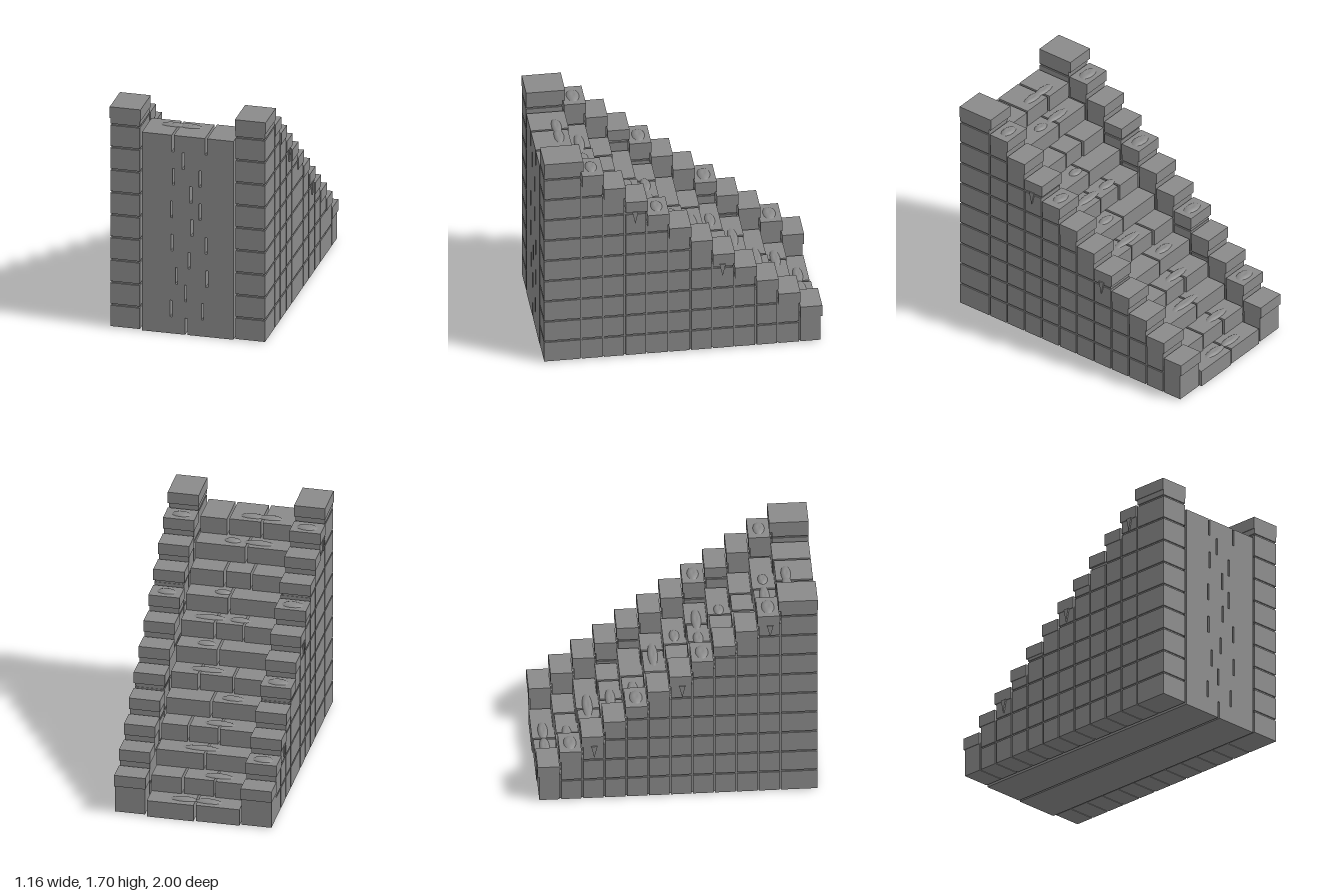
import * as THREE from 'three';

const RUN = 0.157, RISE = 0.1275, STEPS = 12, ROW = 0.1737;

export function createModel() {
  const root = new THREE.Group();
  root.name = 'stoneStaircase';
  const stone = new THREE.MeshStandardMaterial({ color: 0x8a8a8a });
  stone.name = 'grey stone';

  function add(parent, name, geometry) {
    const mesh = new THREE.Mesh(geometry, stone);
    mesh.name = name;
    parent.add(mesh);
    return mesh;
  }

  // Box given by its two extreme corners
  function block(parent, name, x0, x1, y0, y1, z0, z1) {
    const mesh = add(parent, name, new THREE.BoxGeometry(x1 - x0, y1 - y0, z1 - z0));
    mesh.position.set((x0 + x1) / 2, (y0 + y1) / 2, (z0 + z1) / 2);
    return mesh;
  }

  // Front edge of a course; every course runs back to z = 1
  const stepZ = (i) => -1 + i * RUN;

  // Stair courses, split by open vertical joints
  const stairs = new THREE.Group();
  stairs.name = 'stairs';
  root.add(stairs);
  const joints = [
    [-0.013], [-0.125, 0.108], [-0.018], [-0.085, 0.138], [0.008], [-0.118, 0.133],
    [0.028], [-0.122, 0.088], [0.02], [-0.107, 0.088], [-0.035], [-0.112, 0.133],
  ];
  joints.forEach((row, i) => {
    const ends = [-0.348, ...row, 0.343];
    for (let k = 0; k < ends.length - 1; k++) {
      const setback = (i + k) % 2 ? 0 : 0.008;
      block(stairs, 'stepStone', ends[k] + 0.008, ends[k + 1] - 0.008,
        i * RISE, (i + 1) * RISE, stepZ(i) + setback, 1);
    }
  });

  // Side walls: inset core, grid of stones, stepped coping
  function wall(name, x0, x1) {
    const g = new THREE.Group();
    g.name = name;
    root.add(g);
    for (let i = 0; i < STEPS; i++) {
      const top = 0.303 + i * 0.127, under = top - 0.088;
      const z0 = stepZ(i), z1 = i === STEPS - 1 ? 1 : z0 + RUN;
      block(g, 'capStone', x0, x1, under, top, z0 - (i === STEPS - 1 ? 0.008 : 0), z1);
      block(g, 'wallCore', x0 + 0.014, x1 - 0.014, 0.012, under + 0.01, z0 + 0.015,
        i === STEPS - 1 ? z1 - 0.01 : z1 + 0.016);
      // the lowest column is a single stone
      const rows = i === 0 ? 1 : Math.ceil(under / ROW);
      for (let r = 0; r < rows; r++) {
        const y0 = r * ROW + 0.008;
        const y1 = r === rows - 1 ? under : (r + 1) * ROW - 0.005;
        if (y1 - y0 < 0.01) continue;
        block(g, 'wallStone', x0 + 0.005, x1 - 0.005, y0, y1,
          z0 + 0.012, i === STEPS - 1 ? 1 : z1);
      }
    }
    return g;
  }
  const rightWall = wall('rightWall', -0.577, -0.35);
  const leftWall = wall('leftWall', 0.346, 0.573);

  // Worn patches: low tapered discs with a slightly hollow crown
  const patchProfile = [[1, 0], [0.82, 0.008], [0.5, 0.015], [0.28, 0.013], [0, 0.012]]
    .map(([r, y]) => new THREE.Vector2(r, y));
  function patch(parent, x0, x1, y, z, depth) {
    const geo = new THREE.LatheGeometry(patchProfile, 14);
    geo.scale((x1 - x0) / 2, 1, depth);
    add(parent, 'wornPatch', geo).position.set((x0 + x1) / 2, y, z);
  }
  const stepPatches = [
    [0, -0.2, 0], [0, -0.02, 0.18], [1, -0.25, -0.03], [2, -0.12, 0.16], [3, -0.19, 0.04],
    [4, -0.22, -0.05], [5, -0.05, 0.22], [6, 0.06, 0.2], [7, -0.16, 0], [7, 0.02, 0.26],
    [8, 0.02, 0.14], [10, -0.22, 0], [10, 0.02, 0.14], [11, -0.25, -0.06], [11, -0.12, 0.06],
  ];
  for (const [i, x0, x1] of stepPatches) {
    patch(stairs, x0, x1, (i + 1) * RISE, i === 11 ? 0.81 : stepZ(i) + 0.082, 0.036);
  }
  for (const i of [1, 4, 7, 10]) {
    const y = 0.303 + i * 0.127;
    patch(rightWall, -0.54, -0.385, y, stepZ(i) + 0.08, 0.046);
    if (i > 5) patch(leftWall, 0.385, 0.525, y, stepZ(i) + 0.08, 0.042);
  }

  // Pointed chips below some copings on the outer faces
  const chipShape = new THREE.Shape([
    new THREE.Vector2(-0.022, 0.01), new THREE.Vector2(0, -0.09), new THREE.Vector2(0.022, 0.01),
  ]);
  function chip(parent, i, x) {
    const geo = new THREE.ExtrudeGeometry(chipShape, { depth: 0.014, bevelEnabled: false });
    geo.translate(0, 0, -0.007);
    const mesh = add(parent, 'chip', geo);
    mesh.rotation.y = Math.PI / 2;
    mesh.position.set(x, 0.303 + i * 0.127 - 0.092, stepZ(i) + 0.09);
  }
  for (const i of [4, 8]) chip(leftWall, i, 0.573);
  for (const i of [2, 6, 10]) chip(rightWall, i, -0.577);

  return root;
}
